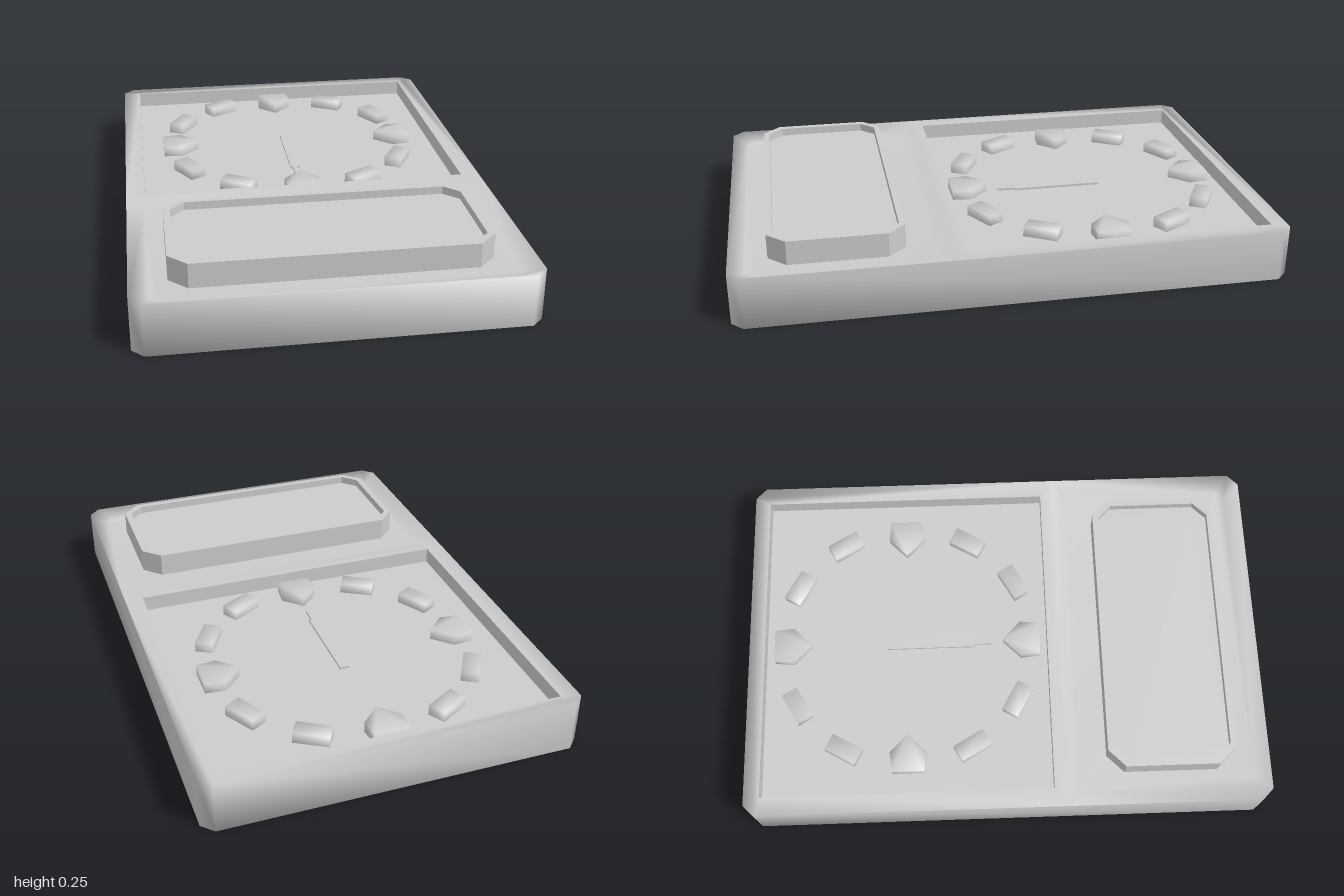
import * as THREE from 'three';
import { mergeGeometries, mergeVertices } from 'three/addons/utils/BufferGeometryUtils.js';

const material = new THREE.MeshStandardMaterial({ color: 0xcccccc });

// Rectangle outline as [x, z] points with cut corners, counter-clockwise from above
function outline(x, z0, z1, c = 0) {
  if (!c) return [[-x, z1], [x, z1], [x, z0], [-x, z0]];
  return [[c - x, z1], [x - c, z1], [x, z1 - c], [x, z0 + c],
    [x - c, z0], [c - x, z0], [-x, z0 + c], [-x, z1 - c]];
}

// Walls between successive [outline, height] rings
function loft(rings) {
  const pos = [], idx = [], n = rings[0][0].length;
  for (const [pts, y] of rings) for (const [x, z] of pts) pos.push(x, y, z);
  for (let r = 0; r < rings.length - 1; r++) {
    for (let i = 0; i < n; i++) {
      const a = r * n + i, b = r * n + (i + 1) % n;
      idx.push(a, b, a + n, b, b + n, a + n);
    }
  }
  const g = new THREE.BufferGeometry();
  g.setAttribute('position', new THREE.Float32BufferAttribute(pos, 3));
  g.setIndex(idx);
  return g;
}

// Flat face at height y, optionally with a hole or facing down
function cap(pts, y, { hole, down } = {}) {
  const v = (p) => p.map(([x, z]) => new THREE.Vector2(x, -z));
  const shape = new THREE.Shape(v(pts));
  if (hole) shape.holes.push(new THREE.Path(v(hole)));
  const g = new THREE.ShapeGeometry(shape).rotateX(-Math.PI / 2).translate(0, y, 0);
  g.deleteAttribute('normal');
  g.deleteAttribute('uv');
  if (down) g.index.array.reverse();
  return g;
}

// Join pieces; smooth shares normals across edges, otherwise every edge stays sharp
function mesh(name, parts, smooth = false) {
  let g = mergeGeometries(parts);
  g = smooth ? mergeVertices(g, 1e-4) : g.toNonIndexed();
  g.computeVertexNormals();
  const m = new THREE.Mesh(g, material);
  m.name = name;
  return m;
}

export function createModel() {
  const model = new THREE.Group();
  model.name = 'clockPanel';
  const W = 0.685, C = 0.042, TOP = 0.19, FLOOR = 0.13, BASIN = 0.16, RIDGE = 0.23;

  // Body: outer walls, underside, rear rim and shallow front basin
  const outer = outline(W, -1, 1, C);
  const recess = outline(0.615, -0.94, 0.175);
  const rear = [[-W, RIDGE], [W, RIDGE], [W, C - 1], [W - C, -1], [C - W, -1], [-W, C - 1]];
  const front = [[C - W, 1], [W - C, 1], [W, 1 - C], [W, RIDGE], [-W, RIDGE], [-W, 1 - C]];
  const basin = [[-0.59, 0.94], [0.59, 0.94], [0.62, 0.91], [0.62, 0.27], [-0.62, 0.27], [-0.62, 0.91]];
  model.add(mesh('body', [
    loft([[outer, 0], [outer, TOP]]),
    cap(outer, 0, { down: true }),
    cap(rear, TOP, { hole: recess }),
    loft([[front, TOP], [basin, BASIN]]),
    cap(basin, BASIN),
  ], true));

  // Sunken clock face
  model.add(mesh('clockFace', [loft([[recess, TOP], [recess, FLOOR]]), cap(recess, FLOOR)]));

  // Raised front plate with a thin lip
  const plate = outline(0.555, 0.38, 0.865, 0.065);
  const inner = outline(0.53, 0.402, 0.843, 0.053);
  model.add(mesh('frontPlate', [
    loft([[plate, BASIN], [plate, 0.25], [inner, 0.25], [inner, 0.22]]),
    cap(inner, 0.22),
  ]));

  // Hour markers: pointed ones at the quarters, bars between
  const pointed = [[0, 0.145], [0.07, 0.075], [0.062, 0], [-0.062, 0], [-0.07, 0.075]]
    .map(([x, z]) => [x, z - 0.525]);
  const bar = outline(0.065, -0.53, -0.463);
  const markers = new THREE.Group();
  markers.name = 'hourMarkers';
  markers.position.set(0, FLOOR, -0.38);
  for (let i = 0; i < 12; i++) {
    const quarter = i % 3 === 0;
    const pts = quarter ? pointed : bar, h = 0.04;
    const m = mesh(quarter ? 'quarterMarker' : 'hourMarker', [loft([[pts, 0], [pts, h]]), cap(pts, h)], true);
    m.rotation.y = -i * Math.PI / 6;
    markers.add(m);
  }
  model.add(markers);

  // Single hand with a narrow tip
  const hand = [[-0.008, -0.045], [0.008, -0.045], [0.008, -0.115], [0.018, -0.115],
    [0.018, -0.46], [-0.018, -0.46], [-0.018, -0.115], [-0.008, -0.115]];
  model.add(mesh('hand', [loft([[hand, FLOOR], [hand, FLOOR + 0.008]]), cap(hand, FLOOR + 0.008)]));

  return model;
}
